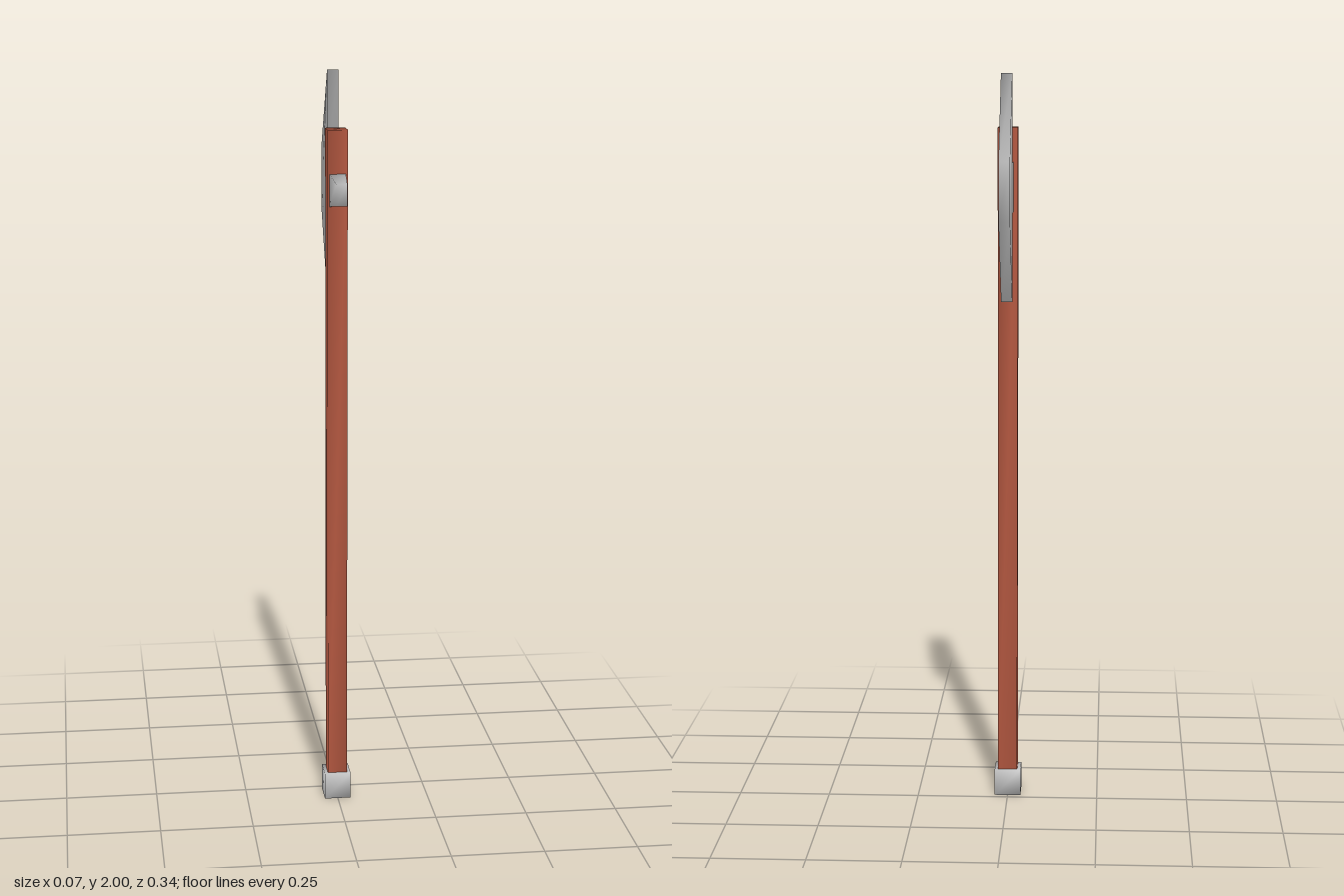
import * as THREE from 'three';
import { mergeVertices } from 'three/addons/utils/BufferGeometryUtils.js';

const steel = new THREE.MeshStandardMaterial({ color: 0xcccccc });
const wood = new THREE.MeshStandardMaterial({ color: 0xb85a42 });

// Weld corners so the shading runs softly over the low-poly edges
function soften(geometry) {
  geometry.deleteAttribute('normal');
  geometry.deleteAttribute('uv');
  const welded = mergeVertices(geometry, 1e-4);
  welded.computeVertexNormals();
  return welded;
}

function addPart(group, name, geometry, material) {
  const mesh = new THREE.Mesh(soften(geometry), material);
  mesh.name = name;
  group.add(mesh);
  return mesh;
}

export function createModel() {
  const axe = new THREE.Group();
  axe.name = 'battleAxe';
  const shaftZ = 0.052;

  // Square wooden shaft
  addPart(axe, 'shaft', new THREE.BoxGeometry(0.053, 1.8, 0.053), wood)
    .position.set(0, 0.955, shaftZ);

  // Steel cap at the foot of the shaft
  addPart(axe, 'footCap', new THREE.BoxGeometry(0.072, 0.073, 0.072), steel)
    .position.set(0, 0.0365, shaftZ);

  // Blade with its neck, drawn as [distance backwards, height]
  const outline = [
    [-0.045, 1.632], [0.032, 1.632], [0.032, 1.397], [0.168, 1.622],
    [0.168, 1.778], [0.032, 2.0], [0.032, 1.765], [-0.045, 1.765],
  ];
  const thickness = 0.03;
  const blade = new THREE.ExtrudeGeometry(
    new THREE.Shape(outline.map(([x, y]) => new THREE.Vector2(x, y))),
    { depth: thickness, bevelEnabled: false },
  );
  blade.translate(0, 0, -thickness / 2).rotateY(Math.PI / 2);
  addPart(axe, 'blade', blade, steel);

  // Blunt spike opposite the blade, narrowing towards its tip
  const spike = new THREE.BoxGeometry(0.044, 0.088, 0.1);
  const p = spike.attributes.position;
  for (let i = 0; i < p.count; i++) {
    if (p.getZ(i) > 0) p.setXY(i, p.getX(i) * 0.66, p.getY(i) * 0.64);
  }
  addPart(axe, 'backSpike', spike, steel).position.set(0, 1.698, 0.118);

  return axe;
}
